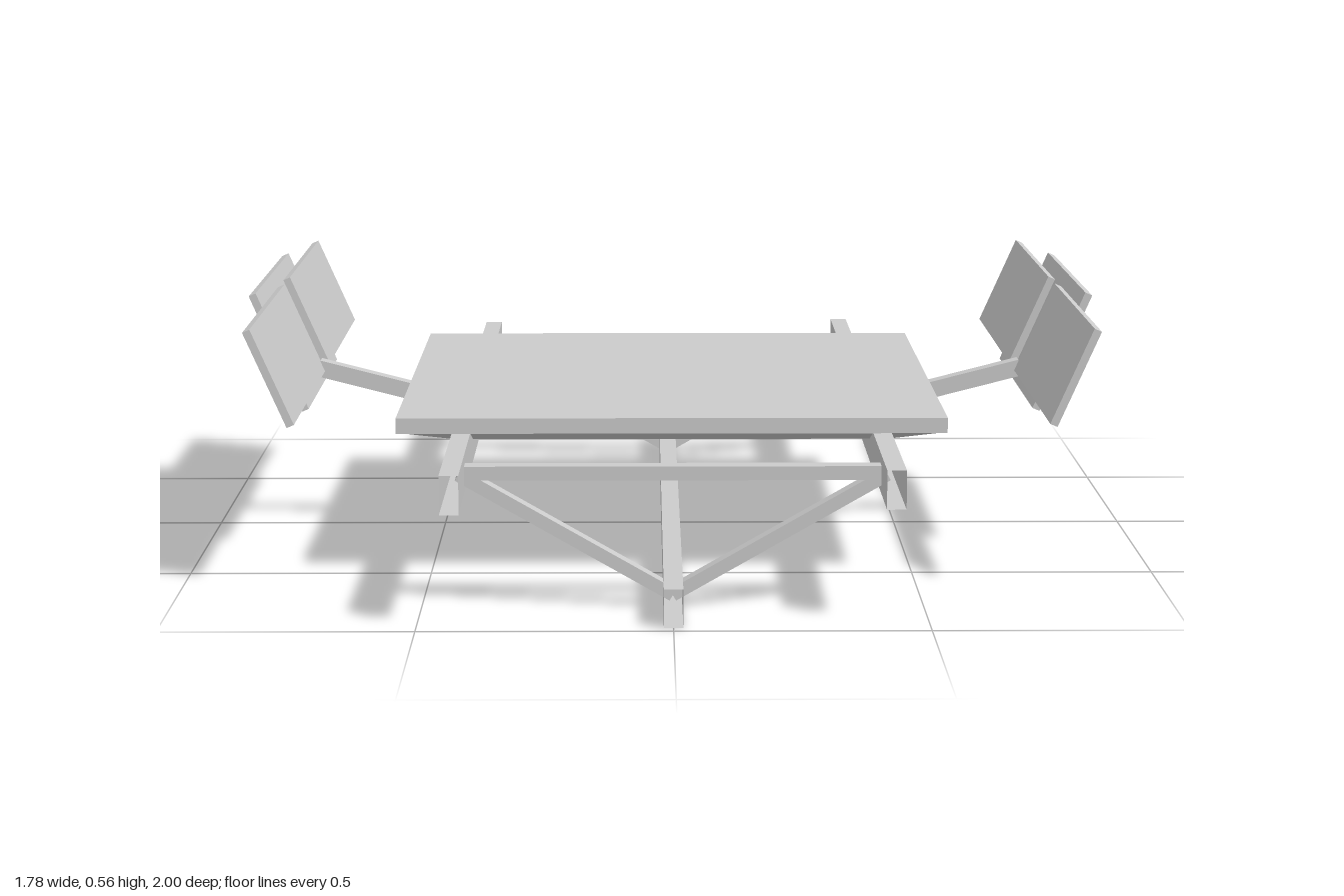
import * as THREE from 'three';

const material = new THREE.MeshStandardMaterial({ color: 0xcccccc, flatShading: true, side: THREE.DoubleSide });

function add(parent, name, geometry, x = 0, y = 0, z = 0) {
  const mesh = new THREE.Mesh(geometry, material);
  mesh.name = name;
  mesh.position.set(x, y, z);
  parent.add(mesh);
  return mesh;
}

// Thin-walled rectangular tube along z, open at both ends
function addRail(parent, name, x, y, z0, z1) {
  const geometry = new THREE.BoxGeometry(0.038, 0.077, z1 - z0);
  geometry.setIndex(Array.from(geometry.index.array).slice(0, 24));
  add(parent, name, geometry, x, y, (z0 + z1) / 2);
}

// Box running between two points of the xy plane, from z0 to z1
function addBar(parent, name, [ax, ay], [bx, by], thickness, z0, z1) {
  const length = Math.hypot(bx - ax, by - ay);
  const bar = add(parent, name, new THREE.BoxGeometry(length, thickness, z1 - z0),
    (ax + bx) / 2, (ay + by) / 2, (z0 + z1) / 2);
  bar.rotation.z = Math.atan2(by - ay, bx - ax);
}

// Shallow pan tapering downwards from the table top
function panGeometry(topHalf, bottomHalf, height) {
  const geometry = new THREE.BoxGeometry(2 * topHalf, height, 2 * topHalf);
  const p = geometry.attributes.position;
  for (let i = 0; i < p.count; i++) {
    if (p.getY(i) < 0) {
      p.setX(i, Math.sign(p.getX(i)) * bottomHalf);
      p.setZ(i, Math.sign(p.getZ(i)) * bottomHalf);
    }
  }
  geometry.computeVertexNormals();
  return geometry;
}

export function createModel() {
  const model = new THREE.Group();
  model.name = 'tableWithSeats';

  // Table top and the tapered pan beneath it
  add(model, 'tableTop', new THREE.BoxGeometry(1.13, 0.032, 1.13), 0, 0.323, 0);
  add(model, 'tablePan', panGeometry(0.56, 0.45, 0.034), 0, 0.291, 0);

  // Long rails, the upper pair slightly staggered
  addRail(model, 'leftRail', 0.432, 0.268, -1, 0.955);
  addRail(model, 'rightRail', -0.432, 0.268, -0.96, 1);
  addRail(model, 'keelRail', 0, 0.0385, -0.98, 0.975);

  // Triangular end frames
  for (const z of [-0.785, 0.782]) {
    const frame = new THREE.Group();
    frame.name = z > 0 ? 'frontFrame' : 'backFrame';
    model.add(frame);
    const z0 = z - 0.019, z1 = z + 0.019;
    addBar(frame, 'crossBar', [-0.415, 0.271], [0.415, 0.271], 0.028, z0, z1);
    for (const s of [-1, 1]) {
      addBar(frame, 'strut', [0, 0.024], [s * 0.425, 0.268], 0.026, z0, z1);
    }
  }

  // Side arms carrying the leaning panels
  for (const s of [-1, 1]) {
    const side = new THREE.Group();
    side.name = s > 0 ? 'leftSeat' : 'rightSeat';
    model.add(side);
    addBar(side, 'seatArm', [s * 0.435, 0.265], [s * 0.775, 0.352], 0.036, -0.019, 0.019);
    addBar(side, 'backPanel', [s * 0.774, 0.313], [s * 0.881, 0.56], 0.016, -0.325, 0.325);
    addBar(side, 'frontPanel', [s * 0.765, 0.348], [s * 0.85, 0.541], 0.016, 0.052, 0.702);
    addBar(side, 'rearPanel', [s * 0.765, 0.348], [s * 0.85, 0.541], 0.016, -0.705, -0.058);
  }
  return model;
}
